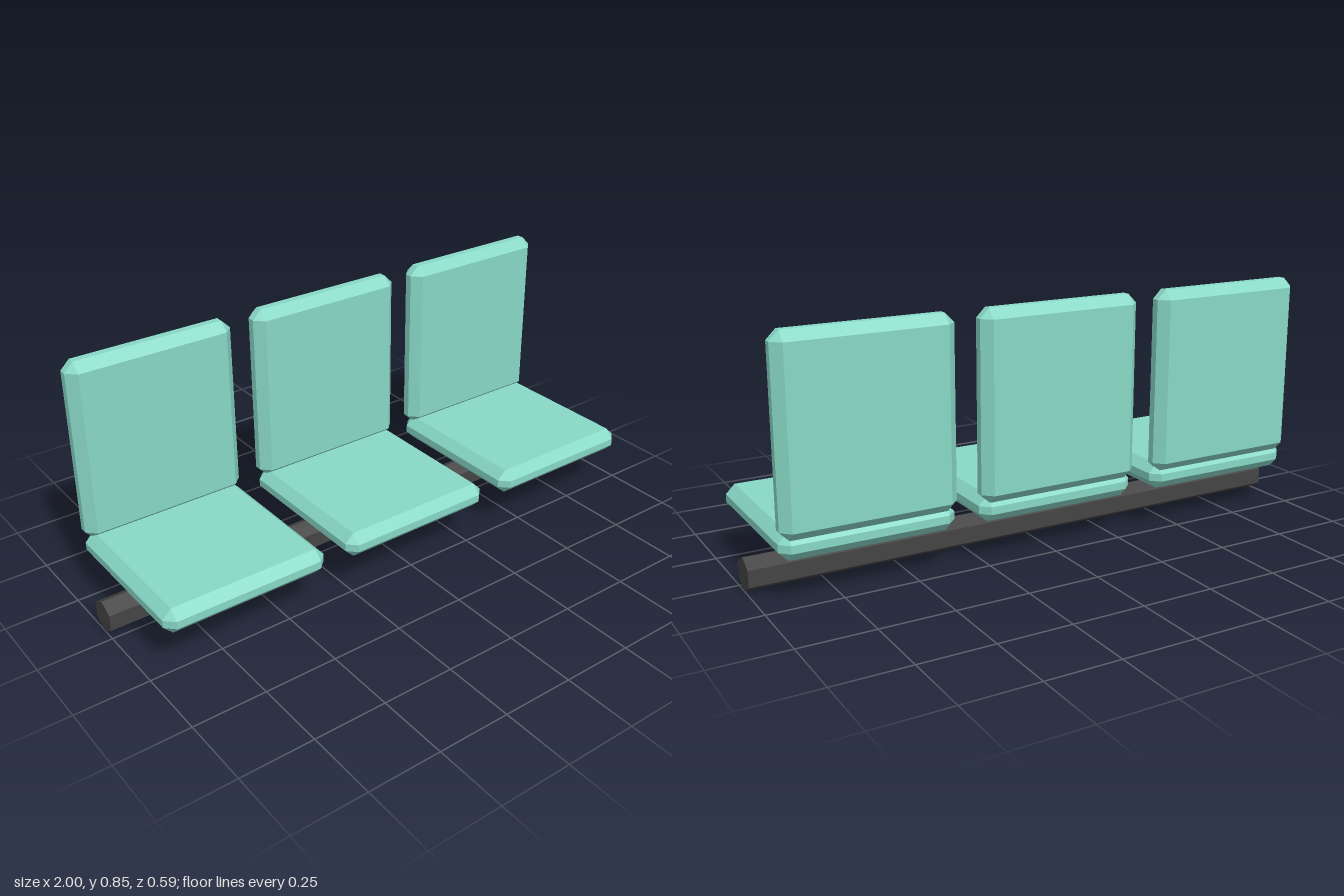
import * as THREE from 'three';
import { ConvexGeometry } from 'three/addons/geometries/ConvexGeometry.js';

const cushionMat = new THREE.MeshStandardMaterial({ color: 0x88d8c6 });
cushionMat.name = 'mint cushion';
const barMat = new THREE.MeshStandardMaterial({ color: 0x444444 });
barMat.name = 'dark metal';

// Box with every edge chamfered and every corner cut to a triangle
function chamferBox(w, h, d, c) {
  const points = [];
  for (const sx of [-1, 1]) for (const sy of [-1, 1]) for (const sz of [-1, 1]) {
    for (let axis = 0; axis < 3; axis++) {
      const inset = [c, c, c];
      inset[axis] = 0;
      points.push(new THREE.Vector3(
        sx * (w / 2 - inset[0]), sy * (h / 2 - inset[1]), sz * (d / 2 - inset[2])));
    }
  }
  return new ConvexGeometry(points);
}

function addMesh(parent, name, geometry, material, x, y, z) {
  const mesh = new THREE.Mesh(geometry, material);
  mesh.name = name;
  mesh.position.set(x, y, z);
  parent.add(mesh);
}

export function createModel() {
  const model = new THREE.Group();
  model.name = 'seatRow';

  // Three identical chairs: flat seat and upright back
  const seat = chamferBox(0.575, 0.088, 0.574, 0.031);
  const back = chamferBox(0.575, 0.625, 0.088, 0.031);
  ['rightChair', 'middleChair', 'leftChair'].forEach((name, i) => {
    const chair = new THREE.Group();
    chair.name = name;
    chair.position.x = (i - 1) * 0.662;
    addMesh(chair, 'seat', seat, cushionMat, 0, 0.196, 0.01);
    addMesh(chair, 'backrest', back, cushionMat, 0, 0.533, -0.252);
    model.add(chair);
  });

  // Hexagonal support bar along x, with a ridge at top and bottom
  const bar = new THREE.CylinderGeometry(0.056, 0.056, 2, 6, 1, false, Math.PI / 2)
    .rotateZ(Math.PI / 2).toNonIndexed();
  bar.computeVertexNormals();
  addMesh(model, 'supportBar', bar, barMat, 0, 0.056, -0.052);

  return model;
}
